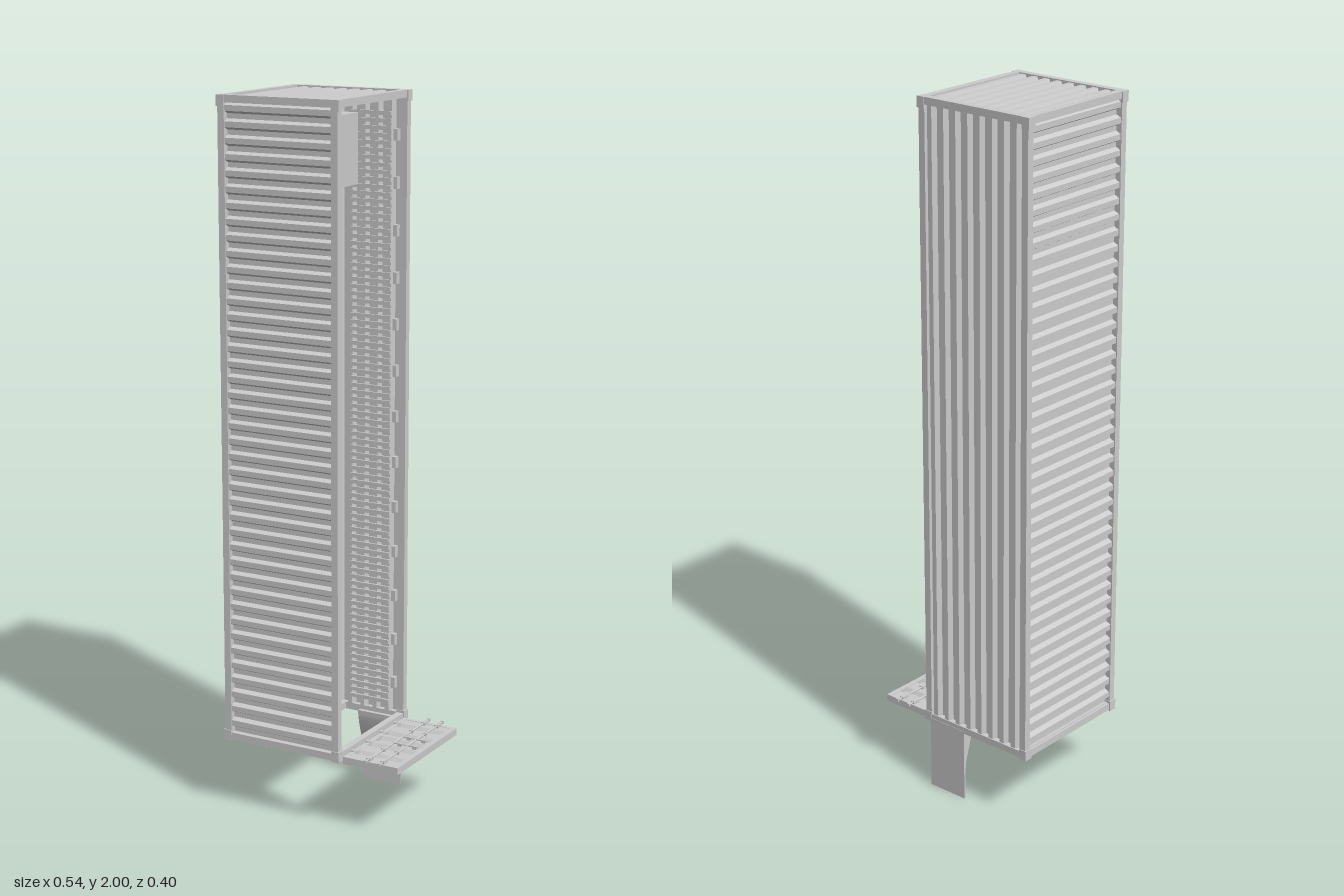
import * as THREE from 'three';

const mat = new THREE.MeshStandardMaterial({ color: 0xcccccc, flatShading: true, side: THREE.DoubleSide });
const X = new THREE.Vector3(1, 0, 0), Y = new THREE.Vector3(0, 1, 0), Z = new THREE.Vector3(0, 0, 1);

function add(parent, name, geo) {
  const m = new THREE.Mesh(geo, mat);
  m.name = name;
  parent.add(m);
  return m;
}

// Box given by its minimum and maximum on each axis
function box(parent, name, x0, x1, y0, y1, z0, z1) {
  const m = add(parent, name, new THREE.BoxGeometry(x1 - x0, y1 - y0, z1 - z0));
  m.position.set((x0 + x1) / 2, (y0 + y1) / 2, (z0 + z1) / 2);
}

// Extrude an outline drawn in the (s, h) plane along s x h
function sweep(parent, name, pts, width, s, h, origin) {
  const shape = new THREE.Shape(pts.map(([a, b]) => new THREE.Vector2(a, b)));
  const geo = new THREE.ExtrudeGeometry(shape, { depth: width, bevelEnabled: false });
  const w = new THREE.Vector3().crossVectors(s, h);
  geo.applyMatrix4(new THREE.Matrix4().makeBasis(s, h, w).setPosition(...origin));
  add(parent, name, geo);
}

// Close an open line into a thin sheet
function sheet(line, t) {
  return [...line.map(([a, b]) => [a, b - t]), ...line.slice().reverse()];
}

// Trapezoid wave used for the corrugated panels
function wave(length, count, depth) {
  const p = length / count, line = [];
  for (let i = 0; i < count; i++) {
    for (const [f, h] of [[0, 0], [0.32, 0], [0.48, depth], [0.84, depth]]) line.push([(i + f) * p, h]);
  }
  line.push([length, 0]);
  return line;
}

// Door leaf: hinge edge at x = 0, outside face up
function doorLeaf(name) {
  const leaf = new THREE.Group();
  leaf.name = name;
  const w = 0.17, t = 0.02;
  box(leaf, 'doorStile', 0, 0.014, 0, t, -0.177, 0.174);
  box(leaf, 'doorStile', 0.156, w, 0, t, -0.177, 0.174);
  box(leaf, 'doorRail', 0.014, 0.156, 0, t, -0.177, -0.165);
  box(leaf, 'doorRail', 0.014, 0.156, 0, t, 0.162, 0.174);
  // pressed panel with five recesses
  const line = [[-0.165, 0.019]];
  for (const [a, b] of [[-0.137, -0.105], [-0.066, -0.033], [-0.022, 0.02], [0.034, 0.065], [0.103, 0.136]]) {
    line.push([a, 0.019], [a + 0.008, 0.009], [b - 0.008, 0.009], [b, 0.019]);
  }
  line.push([0.162, 0.019]);
  sweep(leaf, 'doorPanel', sheet(line, 0.004), 0.142, Z, Y, [0.156, 0, 0]);
  // locking rods with guides, cams and handles
  for (const x of [0.075, 0.118]) {
    const rod = add(leaf, 'lockRod', new THREE.CylinderGeometry(0.003, 0.003, 0.378, 8));
    rod.rotation.x = Math.PI / 2;
    rod.position.set(x, 0.024, -0.001);
    for (const z of [-0.161, 0.157]) box(leaf, 'rodGuide', x - 0.006, x + 0.006, t - 0.001, 0.028, z - 0.011, z + 0.011);
    for (const z of [-0.083, 0.08]) box(leaf, 'rodClip', x - 0.006, x + 0.006, t - 0.001, 0.028, z - 0.005, z + 0.005);
    for (const z of [-0.188, 0.185]) box(leaf, 'rodCam', x - 0.004, x + 0.004, 0.02, 0.028, z - 0.003, z + 0.003);
  }
  for (const z of [-0.029, 0.025]) {
    box(leaf, 'lockHandle', 0.075, 0.155, 0.024, 0.027, z - 0.0015, z + 0.0015);
    for (const x of [0.096, 0.142]) box(leaf, 'handleCatch', x - 0.006, x + 0.006, 0.018, 0.028, z - 0.003, z + 0.003);
  }
  // hinges
  for (const z of [-0.125, -0.042, 0.041, 0.123]) {
    box(leaf, 'hinge', -0.004, 0.005, 0.012, 0.024, z - 0.006, z + 0.006);
    box(leaf, 'hingePlate', 0.01, 0.013, t - 0.001, 0.023, z - 0.006, z + 0.006);
  }
  return leaf;
}

export function createModel() {
  const g = new THREE.Group();
  g.name = 'uprightContainer';
  const x0 = -0.267, x1 = 0.097, y0 = 0.208, y1 = 2, zr = 0.198, f = 0.02;

  // Frame rails
  const frame = new THREE.Group();
  frame.name = 'frame';
  g.add(frame);
  for (const x of [x0, x1 - f]) {
    for (const z of [-zr, zr - f]) box(frame, 'longRail', x, x + f, y0, y1, z, z + f);
    for (const y of [y0, y1 - f]) box(frame, 'cornerPost', x, x + f, y, y + f, -zr, zr);
  }
  for (const z of [-zr, zr - f]) {
    for (const y of [y0, y1 - f]) box(frame, 'crossRail', x0, x1, y, y + f, z, z + f);
  }
  // Corner blocks
  for (const x of [-0.271, 0.077]) for (const y of [0.205, 1.97]) for (const z of [-0.2, 0.176]) {
    box(frame, 'cornerBlock', x, x + 0.024, y, y + 0.03, z, z + 0.024);
  }

  // Corrugated skin; the +x side is open
  const L = y1 - y0 - 2 * f, W = x1 - x0 - 2 * f, H = 2 * zr - 2 * f;
  const xi = x0 + f, yi = y0 + f, zi = zr - f, d = 0.014, t = 0.003;
  sweep(g, 'roofPanel', sheet(wave(L, 41, d), t), W, Y, Z, [xi, yi, zi + 0.003]);
  sweep(g, 'sidePanel', sheet(wave(L, 41, d), t), H, Y, X.clone().negate(), [xi - 0.003, yi, -zi]);
  sweep(g, 'endPanel', sheet(wave(W, 8, d), t), H, X, Y, [xi, y1 - f + 0.003, -zi]);
  sweep(g, 'floorPanel', sheet(wave(W, 8, d), t), L, X, Z.clone().negate(), [xi, yi, -zi - 0.003]);

  // Floor tread and lashing blocks along the open side
  for (let i = 0; i < 85; i++) {
    const y = 0.25 + i * 0.02;
    box(g, 'treadSlat', -0.075, 0.05, y, y + 0.011, -0.178, -0.172);
  }
  for (let i = 0; i < 13; i++) {
    const y = 0.32 + i * 0.13;
    box(g, 'lashingBlock', 0.064, 0.076, y - 0.016, y + 0.016, -0.178, -0.162);
  }

  // Lining rails on the closed side
  box(g, 'kickPlate', xi - 0.001, xi + 0.008, yi, yi + L, -0.177, -0.135);
  for (const z of [0.043, -0.057]) {
    box(g, 'liningRail', xi, xi + 0.02, 0.26, 1.95, z - 0.017, z - 0.004);
    box(g, 'liningRail', xi, xi + 0.02, 0.26, 1.95, z + 0.004, z + 0.017);
    for (let i = 0; i < 10; i++) {
      const y = 0.262 + i * 0.17;
      box(g, 'railBracket', xi, xi + 0.022, y - 0.005, y + 0.005, z - 0.02, z + 0.02);
    }
  }

  // Two equipment boxes hung at the closed end
  box(g, 'tallBox', -0.08, 0.04, 1.65, 1.97, 0.1, 0.178);
  box(g, 'shortBox', -0.09, 0.035, 1.76, 1.95, -0.018, 0.1);

  // Doors: one swung fully open, one closed
  const open = doorLeaf('openDoor');
  open.position.set(0.1, 0.195, 0);
  const shut = doorLeaf('closedDoor');
  shut.rotation.x = Math.PI;
  shut.position.set(-0.26, 0.23, 0);
  g.add(open, shut);

  // Loading ramp with a flat back and a curved inner face, hanging from the door sill
  const curve = new THREE.CatmullRomCurve3([[0, -0.195], [0.08, -0.194], [0.12, -0.189], [0.155, -0.178], [0.195, -0.168], [0.215, -0.166]]
    .map(([y, z]) => new THREE.Vector3(y, z, 0)));
  const line = curve.getPoints(16).reverse().map(p => [p.x, p.y]);
  sweep(g, 'ramp', [[0, -0.199], [0.215, -0.199], ...line], 0.125, Y, Z, [-0.045, 0, 0]);
  return g;
}
